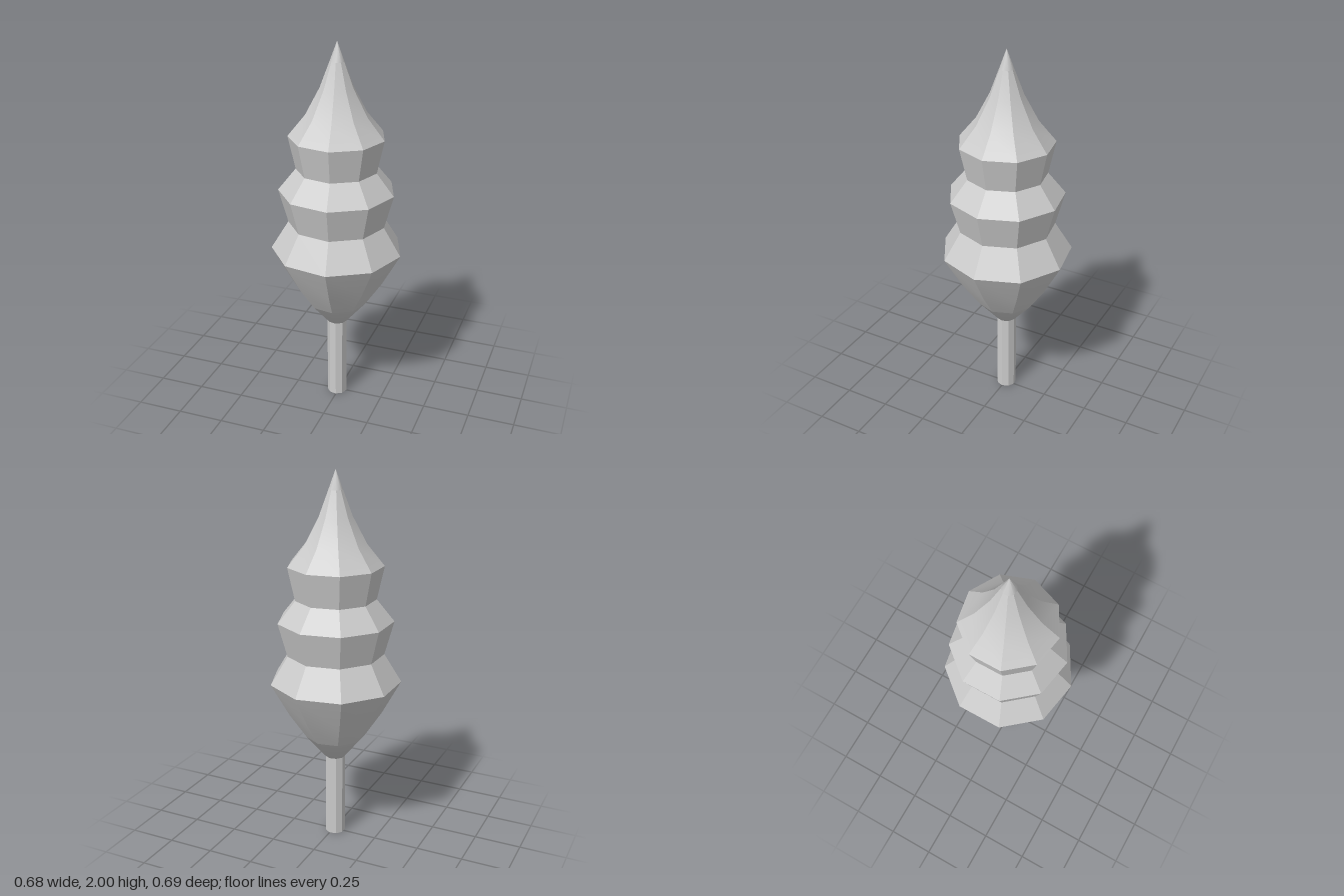
import * as THREE from 'three';
import { toCreasedNormals } from 'three/addons/utils/BufferGeometryUtils.js';

const SIDES = 9;
const material = new THREE.MeshStandardMaterial({ color: 0xcccccc, side: THREE.DoubleSide });

// Nine-sided turned shape with a corner on +x; profile is [radius, height] from bottom to top
function turned(name, profile, crease) {
  const points = profile.map(([r, y]) => new THREE.Vector2(r, y));
  let geometry = new THREE.LatheGeometry(points, SIDES, Math.PI / 2);
  if (crease) geometry = toCreasedNormals(geometry, THREE.MathUtils.degToRad(crease));
  const mesh = new THREE.Mesh(geometry, material);
  mesh.name = name;
  return mesh;
}

export function createModel() {
  const tree = new THREE.Group();
  tree.name = 'tree';

  // Trunk
  const trunk = new THREE.Mesh(
    toCreasedNormals(new THREE.CylinderGeometry(0.054, 0.054, 0.47, SIDES, 1, false, Math.PI / 2), 0.5),
    material
  );
  trunk.name = 'trunk';
  trunk.position.y = 0.235;
  tree.add(trunk);

  // Foliage: smooth base, faceted tiers, smooth tip
  const foliage = new THREE.Group();
  foliage.name = 'foliage';
  foliage.add(
    turned('foliageBase', [[0, 0.46], [0.055, 0.46], [0.16, 0.585]]),
    turned('foliageTiers', [
      [0.16, 0.585], [0.25, 0.72], [0.348, 0.9],
      [0.256, 1.05], [0.305, 1.23],
      [0.212, 1.345], [0.25, 1.52],
      [0.16, 1.63], [0.086, 1.77], [0.037, 1.9],
    ], 30),
    turned('foliageTip', [[0.037, 1.9], [0, 2]])
  );
  tree.add(foliage);

  // An odd number of sides sits slightly off centre
  tree.position.x = -0.01;
  const model = new THREE.Group();
  model.add(tree);
  return model;
}
